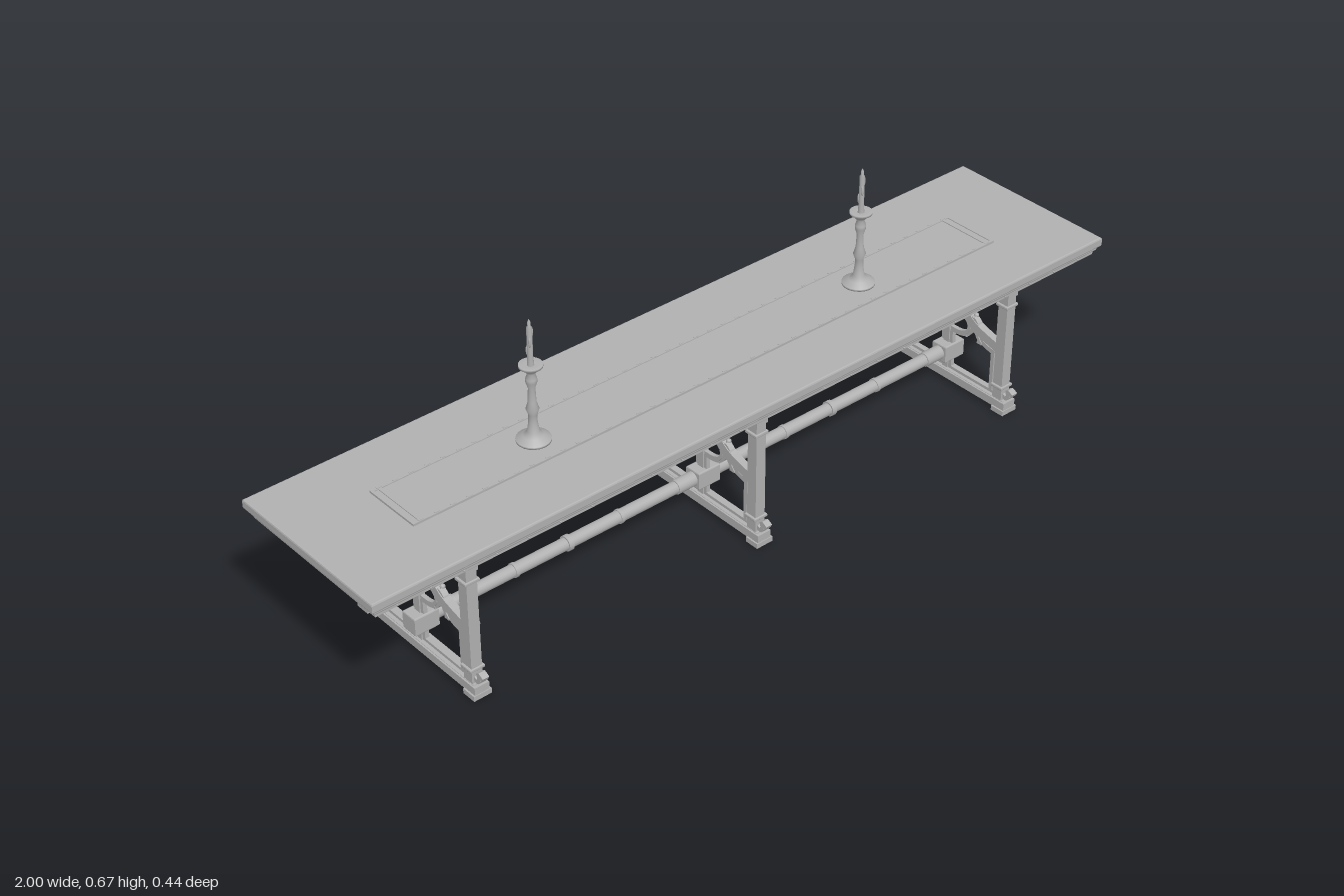
import * as THREE from 'three';

const grey = new THREE.MeshStandardMaterial({ color: 0xb0b0b0 });
grey.name = 'plain grey';

function add(parent, name, geo, x = 0, y = 0, z = 0) {
  const m = new THREE.Mesh(geo, grey);
  m.name = name;
  m.position.set(x, y, z);
  parent.add(m);
  return m;
}
const box = (p, name, w, h, d, x, y, z) => add(p, name, new THREE.BoxGeometry(w, h, d), x, y, z);

// Horizontal rectangular slab with bevelled rims
function slab(p, name, hx, hz, y0, y1, bevel) {
  const a = hx - bevel, b = hz - bevel;
  const s = new THREE.Shape([[-a, -b], [a, -b], [a, b], [-a, b]].map(q => new THREE.Vector2(...q)));
  const g = new THREE.ExtrudeGeometry(s, {
    depth: y1 - y0 - 2 * bevel, bevelSize: bevel, bevelThickness: bevel, bevelSegments: 2,
  });
  g.rotateX(-Math.PI / 2);
  return add(p, name, g, 0, y0 + bevel, 0);
}

// Extrude a (z, y) outline along x, centred on x = 0
function plate(p, name, pts, depth) {
  const g = new THREE.ExtrudeGeometry(new THREE.Shape(pts), { depth, bevelEnabled: false });
  g.translate(0, 0, -depth / 2).rotateY(-Math.PI / 2);
  return add(p, name, g);
}

// Curved strip of constant width along a (z, y) path
function band(p, name, path, side, width, depth, steps = 14) {
  const curve = new THREE.SplineCurve(path.map(([z, y]) => new THREE.Vector2(z * side, y)));
  const outer = [], inner = [];
  for (let i = 0; i <= steps; i++) {
    const c = curve.getPoint(i / steps), t = curve.getTangent(i / steps);
    const n = new THREE.Vector2(-t.y, t.x).multiplyScalar(width / 2);
    outer.push(c.clone().add(n));
    inner.unshift(c.clone().sub(n));
  }
  return plate(p, name, [...outer, ...inner], depth);
}

function makeTrestle() {
  const t = new THREE.Group();
  t.name = 'trestle';
  // Head beam, sill and centre post
  box(t, 'headBeam', 0.03, 0.028, 0.374, 0, 0.319, 0);
  box(t, 'sill', 0.036, 0.02, 0.396, 0, 0.02, 0);
  box(t, 'sillCap', 0.028, 0.006, 0.38, 0, 0.028, 0);
  box(t, 'fretBase', 0.01, 0.008, 0.3, 0, 0.034, 0);
  box(t, 'centrePost', 0.016, 0.175, 0.017, 0, 0.118, 0);
  box(t, 'postBacking', 0.01, 0.105, 0.034, 0, 0.084, 0);
  slab(t, 'stretcherBlock', 0.03, 0.021, 0.057, 0.101, 0.003);
  // Ring and its boss behind the arch point
  const ring = new THREE.LatheGeometry(
    [[0.034, -0.008], [0.042, -0.008], [0.042, 0.008], [0.034, 0.008], [0.034, -0.008]]
      .map(q => new THREE.Vector2(...q)), 32);
  ring.rotateZ(Math.PI / 2);
  add(t, 'ring', ring, 0, 0.257, 0);
  add(t, 'ringBoss', new THREE.SphereGeometry(0.009, 14, 10), 0.011, 0.257, 0);
  plate(t, 'archPoint', [[0, 0.305], [-0.019, 0.26], [0, 0.238], [0.019, 0.26]]
    .map(q => new THREE.Vector2(...q)), 0.018);

  for (const s of [1, -1]) {
    // Leg with collars, foot and boss
    box(t, 'leg', 0.026, 0.277, 0.027, 0, 0.1675, s * 0.1705);
    for (const y of [0.064, 0.28]) {
      const c = slab(t, 'legCollar', 0.018, 0.0165, y - 0.004, y + 0.004, 0.002);
      c.position.z = s * 0.1705;
    }
    box(t, 'foot', 0.044, 0.012, 0.036, 0, 0.006, s * 0.182);
    add(t, 'legBoss', new THREE.SphereGeometry(0.009, 14, 10), 0.013, 0.163, s * 0.171);
    // Sweeping arch, top brace and fretwork
    band(t, 'archBrace', [[0.004, 0.282], [0.022, 0.243], [0.05, 0.208], [0.09, 0.178], [0.162, 0.158]], s, 0.024, 0.018);
    band(t, 'topBrace', [[0.137, 0.302], [0.03, 0.283]], s, 0.009, 0.014, 1);
    box(t, 'fretUpright', 0.01, 0.108, 0.01, 0, 0.088, s * 0.142);
    band(t, 'fretOuterArch', [[0.147, 0.138], [0.118, 0.144], [0.095, 0.157], [0.08, 0.175]], s, 0.012, 0.01);
    band(t, 'fretInnerArch', [[0.082, 0.178], [0.064, 0.153], [0.04, 0.141], [0.01, 0.139]], s, 0.013, 0.01);
    for (const k of [1, -1]) {
      band(t, 'leaf', [[0.078, 0.201], [0.078 + k * 0.014, 0.188], [0.078 + k * 0.012, 0.165],
        [0.078 + k * 0.027, 0.143]], s, 0.008, 0.014);
    }
    box(t, 'leafFoot', 0.012, 0.006, 0.014, 0, 0.143, s * 0.1);
    box(t, 'leafFoot', 0.012, 0.006, 0.014, 0, 0.143, s * 0.054);
    add(t, 'leafKnob', new THREE.SphereGeometry(0.006, 12, 8), 0.004, 0.204, s * 0.078);
    // Scroll hook on the outside of the leg
    band(t, 'scrollHook', [[0.183, 0.043], [0.193, 0.039], [0.199, 0.048], [0.197, 0.06], [0.211, 0.053]], s, 0.01, 0.016);
  }
  return t;
}

function makeCandlestick() {
  const c = new THREE.Group();
  c.name = 'candlestick';
  const stick = [[0, 0], [0.037, 0], [0.037, 0.005], [0.022, 0.013], [0.013, 0.022], [0.0095, 0.045],
    [0.009, 0.062], [0.014, 0.076], [0.009, 0.092], [0.0075, 0.125], [0.012, 0.14], [0.012, 0.148],
    [0.008, 0.16], [0.014, 0.168], [0.018, 0.174], [0.025, 0.177], [0.025, 0.182], [0.01, 0.18], [0, 0.18]];
  add(c, 'holder', new THREE.LatheGeometry(stick.map(q => new THREE.Vector2(...q)), 20));
  const wax = [[0.0075, 0.178], [0.006, 0.2], [0.006, 0.268], [0.003, 0.272], [0.0035, 0.28], [0, 0.288]];
  add(c, 'candle', new THREE.LatheGeometry(wax.map(q => new THREE.Vector2(...q)), 12));
  // Wax drips
  [[0, 0.255], [2.2, 0.235], [4.1, 0.213]].forEach(([a, y]) => {
    const d = add(c, 'waxDrip', new THREE.SphereGeometry(0.003, 8, 6), 0.006 * Math.cos(a), y, 0.006 * Math.sin(a));
    d.scale.y = 4;
  });
  return c;
}

export function createModel() {
  const table = new THREE.Group();
  table.name = 'banquetTable';

  // Moulded table top
  slab(table, 'tableTop', 1, 0.218, 0.352, 0.375, 0.004);
  slab(table, 'topMoulding', 0.992, 0.211, 0.341, 0.354, 0.004);
  slab(table, 'edgeRail', 0.986, 0.205, 0.331, 0.343, 0.001);

  // Studs around the edge rail
  for (const s of [1, -1]) {
    for (let i = -2; i <= 2; i++) {
      add(table, 'endStud', new THREE.SphereGeometry(0.003, 8, 6), s * 0.986, 0.337, i * 0.078);
    }
    for (let i = -12; i <= 12; i++) {
      add(table, 'sideStud', new THREE.SphereGeometry(0.003, 8, 6), i * 0.078, 0.337, s * 0.205);
    }
  }

  // Runner with raised border and beaded fringe
  box(table, 'runner', 1.6, 0.003, 0.146, 0, 0.3765, 0);
  for (const s of [1, -1]) {
    box(table, 'runnerBorder', 1.6, 0.002, 0.008, 0, 0.379, s * 0.069);
    box(table, 'runnerEndBand', 0.008, 0.002, 0.13, s * 0.78, 0.379, 0);
    box(table, 'runnerEnd', 0.006, 0.002, 0.13, s * 0.797, 0.379, 0);
    for (let i = -20; i <= 20; i++) {
      box(table, 'bead', 0.012, 0.001, 0.004, i * 0.039, 0.3805, s * 0.069);
    }
  }

  // Candlesticks
  for (const x of [-0.45, 0.45]) {
    const c = makeCandlestick();
    c.position.set(x, 0.378, 0);
    table.add(c);
  }

  // Three trestles
  for (const x of [-0.75, 0, 0.75]) {
    const t = makeTrestle();
    t.position.x = x;
    table.add(t);
  }

  // Long stretcher with collars
  const rod = (name, r, len, x) =>
    add(table, name, new THREE.CylinderGeometry(r, r, len, 16).rotateZ(Math.PI / 2), x, 0.079, 0);
  rod('stretcher', 0.0145, 1.5, 0);
  for (const x of [-0.375, 0.375]) {
    rod('stretcherCollar', 0.018, 0.012, x);
    for (const k of [-1, 1]) {
      rod('stretcherSleeve', 0.017, 0.05, x + k * 0.32);
      rod('stretcherBand', 0.0165, 0.008, x + k * 0.14);
    }
  }
  return table;
}
